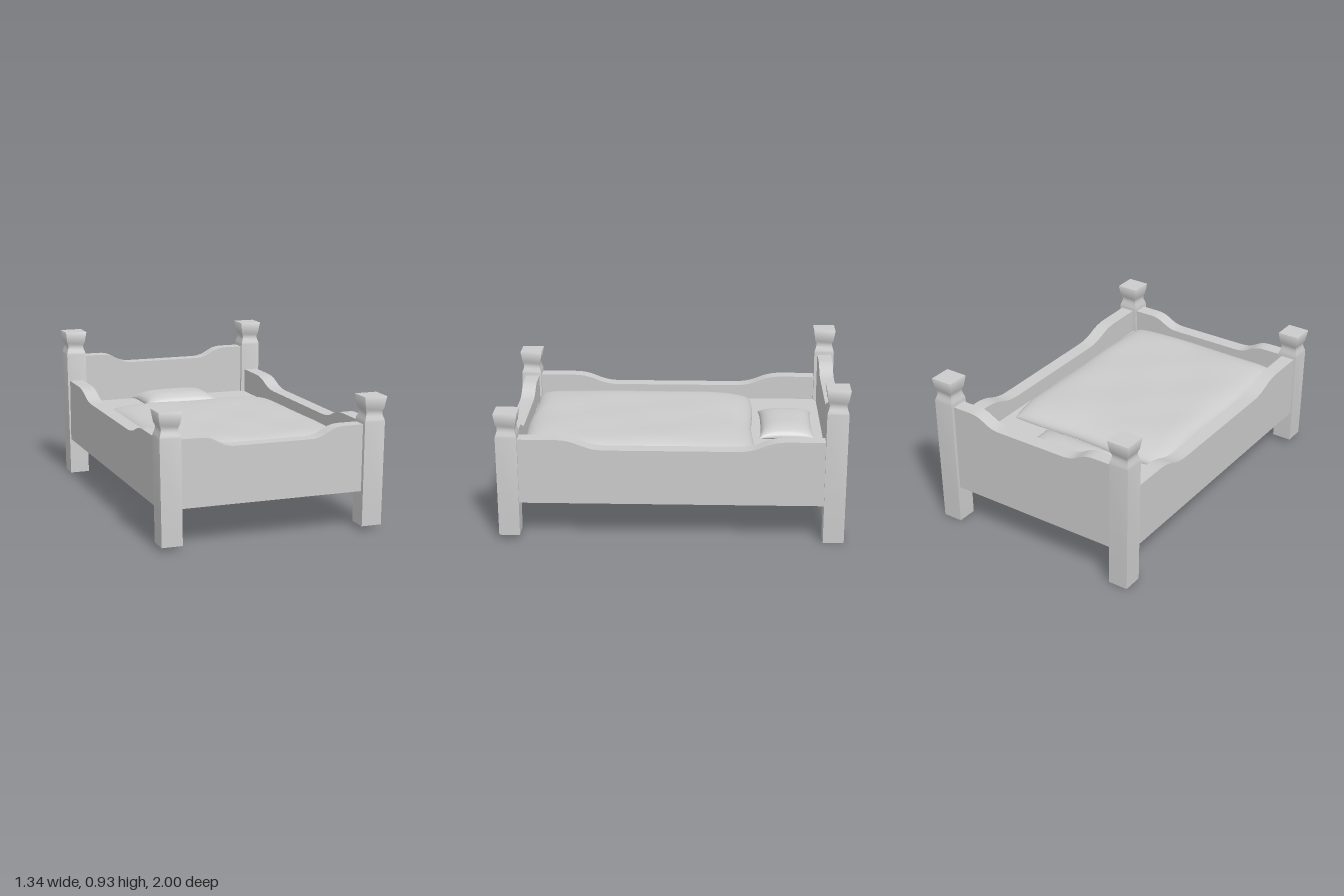
import * as THREE from 'three';
import { toCreasedNormals, mergeGeometries, mergeVertices } from 'three/addons/utils/BufferGeometryUtils.js';

const grey = new THREE.MeshStandardMaterial({ color: 0xcccccc });
const greyOpen = new THREE.MeshStandardMaterial({ color: 0xcccccc, side: THREE.DoubleSide });

function add(group, name, geometry, material = grey) {
  const mesh = new THREE.Mesh(geometry, material);
  mesh.name = name;
  group.add(mesh);
  return mesh;
}

// Square post with a pinched neck and a flared cap, open underneath, leaning slightly outward
function postGeometry(bottom, top) {
  const profile = [
    [0.060, bottom], [0.0615, top - 0.145], [0.059, top - 0.133], [0.052, top - 0.113],
    [0.049, top - 0.098], [0.050, top - 0.085], [0.057, top - 0.070],
    [0.0675, top - 0.002], [0.0665, top], [0, top],
  ].map(([half, y]) => new THREE.Vector2(half * Math.SQRT2, y));
  const geometry = new THREE.LatheGeometry(profile, 4, Math.PI / 4);
  const p = geometry.attributes.position;
  for (let i = 0; i < p.count; i++) p.setX(i, p.getX(i) + 0.012 * Math.min(p.getY(i), 0.75));
  return toCreasedNormals(geometry, 0.75);
}

// Board whose top edge dips in an S-curve from its ends to its middle
function boardGeometry(half, thickness, high, low, outer, inner) {
  const bottom = 0.225, mid = (outer + inner) / 2;
  const s = new THREE.Shape();
  s.moveTo(-half, bottom);
  s.lineTo(half, bottom);
  s.lineTo(half, high);
  s.lineTo(outer, high);
  s.bezierCurveTo(mid, high, mid, low, inner, low);
  s.lineTo(-inner, low);
  s.bezierCurveTo(-mid, low, -mid, high, -outer, high);
  s.lineTo(-half, high);
  s.closePath();
  const geometry = new THREE.ExtrudeGeometry(s, { depth: thickness, bevelEnabled: false, curveSegments: 14 });
  geometry.translate(0, 0, -thickness / 2);
  return toCreasedNormals(geometry, 0.6);
}

// Closed cushion: two grids joined along the rim, shaped by a rule place(u, v, side)
function cushionGeometry(n, place) {
  const halves = [1, -1].map((side) => {
    const g = new THREE.PlaneGeometry(2, 2, n, n);
    g.deleteAttribute('uv');
    g.deleteAttribute('normal');
    g.rotateX(-side * Math.PI / 2);
    const p = g.attributes.position;
    for (let i = 0; i < p.count; i++) {
      // Crowd the grid towards the rim, where the curvature is
      const u = Math.sin(p.getX(i) * Math.PI / 2), v = Math.sin(p.getZ(i) * Math.PI / 2);
      p.setXYZ(i, ...place(u, v, side));
    }
    return g;
  });
  const geometry = mergeVertices(mergeGeometries(halves), 1e-5);
  geometry.computeVertexNormals();
  return geometry;
}

const bulge = (t, power) => Math.sqrt(Math.max(0, 1 - Math.abs(t) ** power));

export function createModel() {
  const bed = new THREE.Group();
  bed.name = 'bed';

  // Four posts, the head pair taller
  for (const side of [1, -1]) {
    const name = side > 0 ? 'left' : 'right';
    for (const [end, z, bottom, top] of [['Head', -0.932, 0, 0.925], ['Foot', 0.934, 0.025, 0.768]]) {
      const post = add(bed, `${name}${end}Post`, postGeometry(bottom, top), greyOpen);
      post.position.set(side * 0.595, 0, z);
      // A half turn mirrors the outward lean
      if (side < 0) post.rotation.y = Math.PI;
    }
    // Side rail
    const rail = add(bed, `${name}SideRail`, boardGeometry(0.885, 0.085, 0.61, 0.55, 0.67, 0.37));
    rail.rotation.y = Math.PI / 2;
    rail.position.x = side * 0.607;
  }

  // Headboard and footboard
  add(bed, 'headboard', boardGeometry(0.55, 0.085, 0.765, 0.705, 0.43, 0.22)).position.z = -0.932;
  add(bed, 'footboard', boardGeometry(0.55, 0.085, 0.61, 0.55, 0.43, 0.22)).position.z = 0.928;

  // Thin mattress sheet
  const sheet = add(bed, 'mattress', new THREE.BoxGeometry(1.12, 0.012, 1.77));
  sheet.position.set(0, 0.457, -0.003);

  // Puffed blanket with slightly wavy edges and a soft crumpled top
  add(bed, 'blanket', cushionGeometry(48, (u, v, side) => {
    const wave = 0.006 * Math.sin(5 * u + 1) * Math.abs(v) ** 6;
    const taper = 0.025 * Math.max(0, -v - 0.75) / 0.25 * Math.max(0, u);
    const x = -0.003 + u * (0.533 + 0.005 * Math.sin(6 * v) * Math.abs(u) ** 6) - taper;
    const z = 0.205 + v * 0.675 + wave;
    const h = bulge(u, 9) * bulge(v, v < 0 ? 6 : 12);
    const crumple = 0.003 * Math.sin(7 * u + 2 * v) * Math.sin(6 * v - u) * h;
    return [x, 0.464 + (side > 0 ? 0.086 * h + crumple : -0.022 * h), z];
  }));

  // Pillow with drawn-out corners and hollowed sides
  add(bed, 'pillow', cushionGeometry(28, (u, v, side) => {
    const x = u * (0.228 + 0.022 * v ** 4);
    const z = -0.672 + v * (0.152 + 0.014 * u ** 4);
    const h = bulge(u, 4) * bulge(v, 3);
    return [x, 0.482 + (side > 0 ? 0.062 : -0.022) * h, z];
  }));

  return bed;
}
